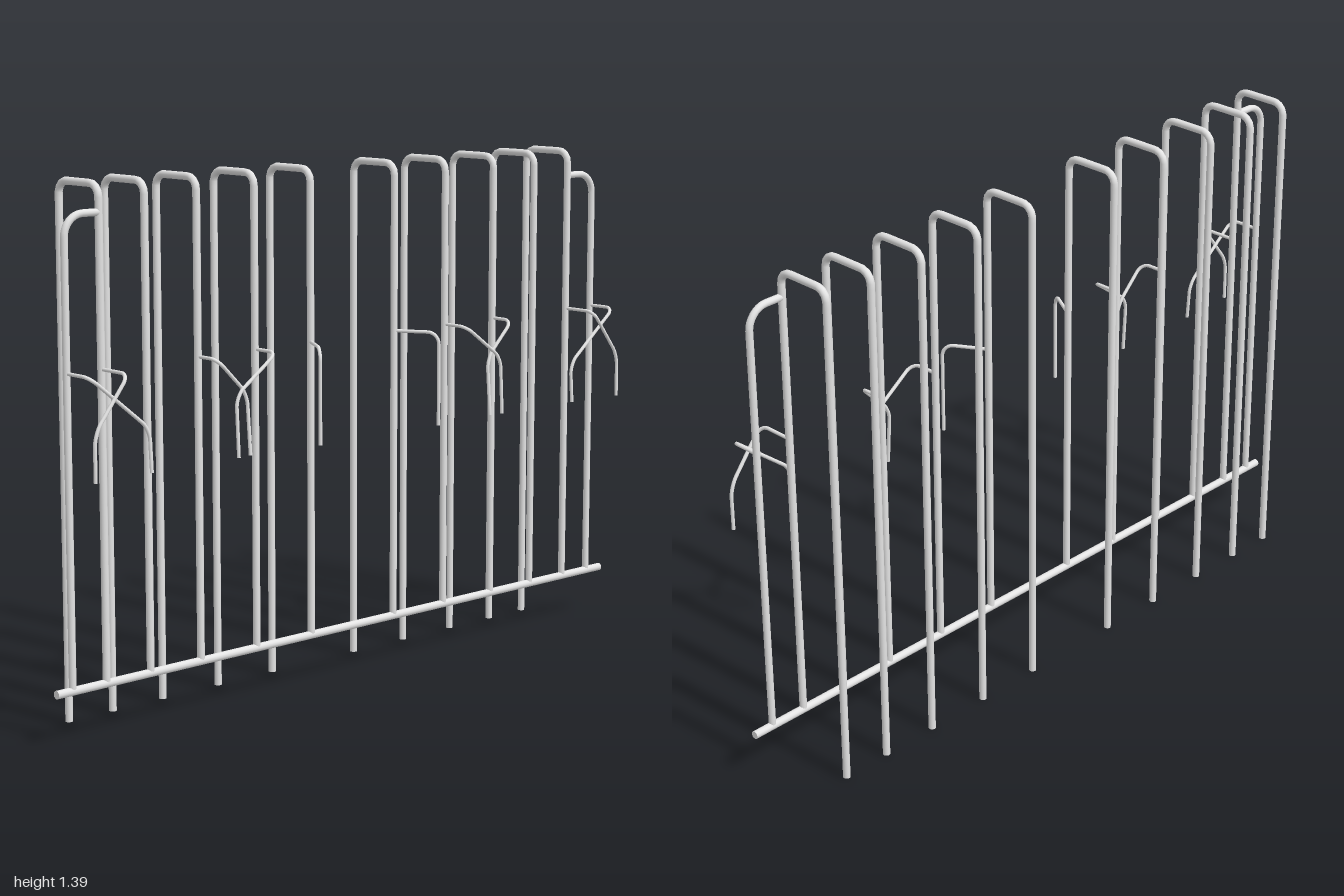
import * as THREE from 'three';
import { mergeGeometries } from 'three/addons/utils/BufferGeometryUtils.js';

const FRONT_Z = 0.028, BACK_Z = -0.132;

// Polyline path with every inner corner rounded by its own bend size
function roundedPath(points, bends) {
  const path = new THREE.CurvePath();
  let from = points[0];
  for (let i = 1; i < points.length - 1; i++) {
    const p = points[i], bend = bends[i - 1];
    const a = p.clone().add(points[i - 1].clone().sub(p).setLength(bend));
    const b = p.clone().add(points[i + 1].clone().sub(p).setLength(bend));
    // Cubic handles approximate a circular bend
    path.add(new THREE.LineCurve3(from, a));
    path.add(new THREE.CubicBezierCurve3(a, a.clone().lerp(p, 0.55), b.clone().lerp(p, 0.55), b));
    from = b;
  }
  path.add(new THREE.LineCurve3(from, points[points.length - 1]));
  return path;
}

// Flat disc closing one end of a rod
function cap(point, direction, radius, sides) {
  const disc = new THREE.CircleGeometry(radius, sides);
  disc.applyQuaternion(new THREE.Quaternion().setFromUnitVectors(new THREE.Vector3(0, 0, 1), direction));
  return disc.translate(point.x, point.y, point.z);
}

function rod(name, coords, bends, radius, segments, material) {
  const path = roundedPath(coords.map((c) => new THREE.Vector3(...c)), bends);
  const sides = 12;
  const geometry = mergeGeometries([
    new THREE.TubeGeometry(path, segments, radius, sides, false),
    cap(path.getPoint(0), path.getTangent(0).negate(), radius, sides),
    cap(path.getPoint(1), path.getTangent(1), radius, sides),
  ]);
  const mesh = new THREE.Mesh(geometry, material);
  mesh.name = name;
  return mesh;
}

export function createModel() {
  const model = new THREE.Group();
  model.name = 'wireRack';
  const steel = new THREE.MeshStandardMaterial({ color: 0xe4e4e4 });
  steel.name = 'pale grey steel';

  // Long rail joining the feet of the front legs
  model.add(rod('bottomRail', [[-1, 0.134, FRONT_Z], [0, 0.134, FRONT_Z], [1, 0.134, FRONT_Z]], [0.1], 0.011, 12, steel));

  // Hooks: start x, end x, forward reach z, height where the slope turns down, z of the tip
  const hooks = [
    [0.945, 0.765, 0.119, 0.782, 0.126],
    [0.84, 0.945, 0.136, 0.792, 0.136],
    [0.535, 0.438, 0.104, 0.83, 0.116],
    [0.345, 0.481, 0.113, 0.83, 0.121],
  ];

  for (const side of [1, -1]) {
    const half = new THREE.Group();
    half.name = side > 0 ? 'leftHalf' : 'rightHalf';
    model.add(half);
    const at = (x, y, z) => [side * x - 0.005, y, z];

    // Upright hoops, the back legs reaching the ground
    for (const x of [0.84, 0.7, 0.535, 0.345, 0.152]) {
      half.add(rod('hoop', [
        at(x, 0.134, FRONT_Z), at(x, 1.379, FRONT_Z), at(x, 1.379, BACK_Z), at(x, 0, BACK_Z),
      ], [0.032, 0.032], 0.01, 200, steel));
    }

    // Bent end bar beside the outer hoop
    half.add(rod('endBar', [
      at(0.84, 1.311, FRONT_Z), at(0.945, 1.311, FRONT_Z), at(0.945, 0.134, FRONT_Z),
    ], [0.055], 0.0095, 120, steel));

    // Crossing pairs of thin hooks
    for (const [x0, x1, z, y, tipZ] of hooks) {
      half.add(rod('crossHook', [
        at(x0, 0.927, FRONT_Z), at(x0, 0.927, z), at(x1, y, z), at(x1, 0.673, tipZ),
      ], [0.028, 0.03], 0.0048, 80, steel));
    }

    // Single slanted hook on the inner hoop
    half.add(rod('innerHook', [
      at(0.152, 0.927, FRONT_Z), at(0.216, 0.927, 0.136), at(0.216, 0.673, 0.136),
    ], [0.032], 0.0048, 70, steel));
  }
  return model;
}
